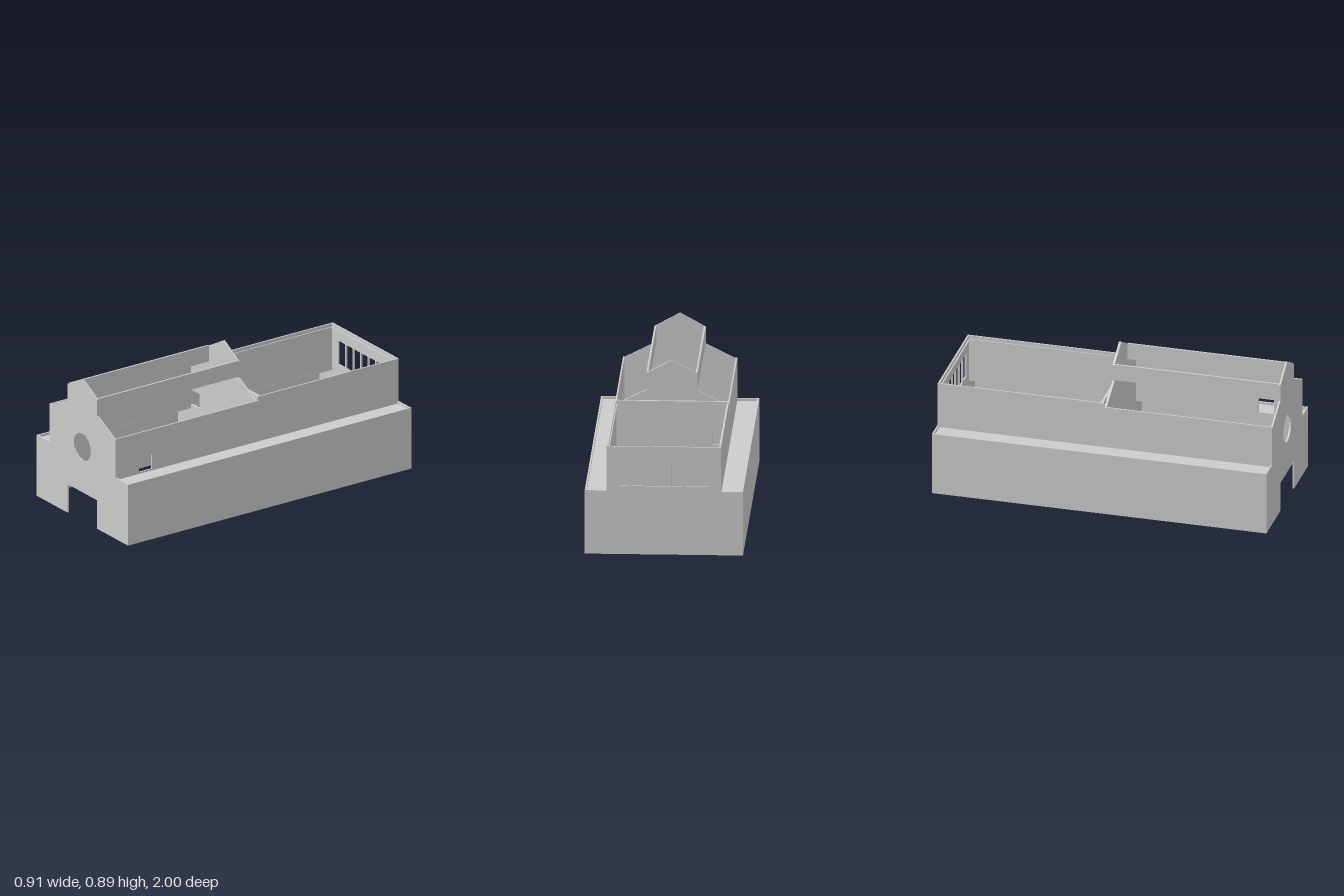
import * as THREE from 'three';

const material = new THREE.MeshStandardMaterial({ color: 0xcccccc, flatShading: true });

// Closed path from a list of corners
const path = (pts, Type = THREE.Path) => new Type(pts.map(([x, y]) => new THREE.Vector2(x, y)));
const rect = (x0, x1, y0, y1) => path([[x0, y0], [x1, y0], [x1, y1], [x0, y1]]);

// Outline mirrored about x = 0, given as its +x half from bottom to top
const mirrored = (half) => path(
  [...half, ...half.slice().reverse().filter(([x]) => x > 0).map(([x, y]) => [-x, y])],
  THREE.Shape,
);

export function createModel() {
  const group = new THREE.Group();

  const add = (name, geometry) => {
    const mesh = new THREE.Mesh(geometry, material);
    mesh.name = name;
    group.add(mesh);
    return mesh;
  };

  const box = (name, x0, x1, y0, y1, z0, z1) => {
    const mesh = add(name, new THREE.BoxGeometry(x1 - x0, y1 - y0, z1 - z0));
    mesh.position.set((x0 + x1) / 2, (y0 + y1) / 2, (z0 + z1) / 2);
    return mesh;
  };

  // Upright slab across the building
  const slab = (name, shape, holes, z0, z1) => {
    shape.holes.push(...holes);
    const geometry = new THREE.ExtrudeGeometry(shape, { depth: z1 - z0, bevelEnabled: false });
    add(name, geometry).position.z = z0;
  };

  const gable = [[0.33, 0.62], [0.316, 0.62], [0.148, 0.705], [0.148, 0.805], [0, 0.887]];

  // Front wall with doorway and round window
  const roundWindow = path(Array.from({ length: 16 }, (_, i) => {
    const a = (i / 16) * Math.PI * 2;
    return [0.085 * Math.cos(a), 0.46 + 0.085 * Math.sin(a)];
  }));
  slab('frontWall', mirrored([
    [0.148, 0.178], [0.148, 0], [0.457, 0], [0.457, 0.38], [0.33, 0.38], ...gable,
  ]), [roundWindow], 0.99, 1);

  // Cross wall in the middle with a small window
  slab('crossWall', mirrored([[0.449, 0], [0.449, 0.36], [0.328, 0.36], [0.328, 0.62], ...gable.slice(1)]),
    [rect(-0.318, -0.235, 0.38, 0.472)], -0.006, 0.008);
  box('crossBeam', -0.328, 0.328, 0.62, 0.645, -0.028, -0.012);

  // Back wall with a row of seven panes
  const panes = [];
  const pitch = 0.53 / 7;
  for (let i = 0; i < 7; i++) {
    const x = -0.265 + i * pitch;
    panes.push(rect(x + 0.005, x + pitch - 0.005, 0.408, 0.557));
  }
  slab('backWall', mirrored([[0.457, 0], [0.457, 0.38], [0.33, 0.38], [0.33, 0.645]]), panes, -1, -0.99);
  box('backLedge', -0.322, 0.322, 0.615, 0.625, -0.99, -0.982);

  for (const s of [1, -1]) {
    const side = s > 0 ? 'left' : 'right';
    const sideBox = (name, x0, x1, ...rest) =>
      box(side + name, Math.min(s * x0, s * x1), Math.max(s * x0, s * x1), ...rest);

    // Low outer wall and the aisle roof behind its parapet
    sideBox('OuterWall', 0.447, 0.457, 0, 0.38, -0.99, 0.99);
    sideBox('AisleRoof', 0.32, 0.447, 0.355, 0.365, -0.99, 0.99);

    // Nave wall, taller over the back half
    const wall = path([
      [-0.99, 0.365], [0.99, 0.365], [0.99, 0.62], [-0.006, 0.62], [-0.006, 0.645], [-0.99, 0.645],
    ], THREE.Shape);
    if (s > 0) wall.holes.push(rect(0.74, 0.832, 0.375, 0.465));
    const naveWall = add(side + 'NaveWall', new THREE.ExtrudeGeometry(wall, { depth: 0.009, bevelEnabled: false }));
    naveWall.rotation.y = -Math.PI / 2;
    naveWall.position.x = s > 0 ? 0.33 : -0.321;
    sideBox('NaveLedge', 0.315, 0.321, 0.615, 0.625, -0.99, -0.006);

    // Raised strip between the two gables
    sideBox('ClerestoryWall', 0.137, 0.148, 0.71, 0.81, 0.008, 0.99);
  }

  return group;
}
